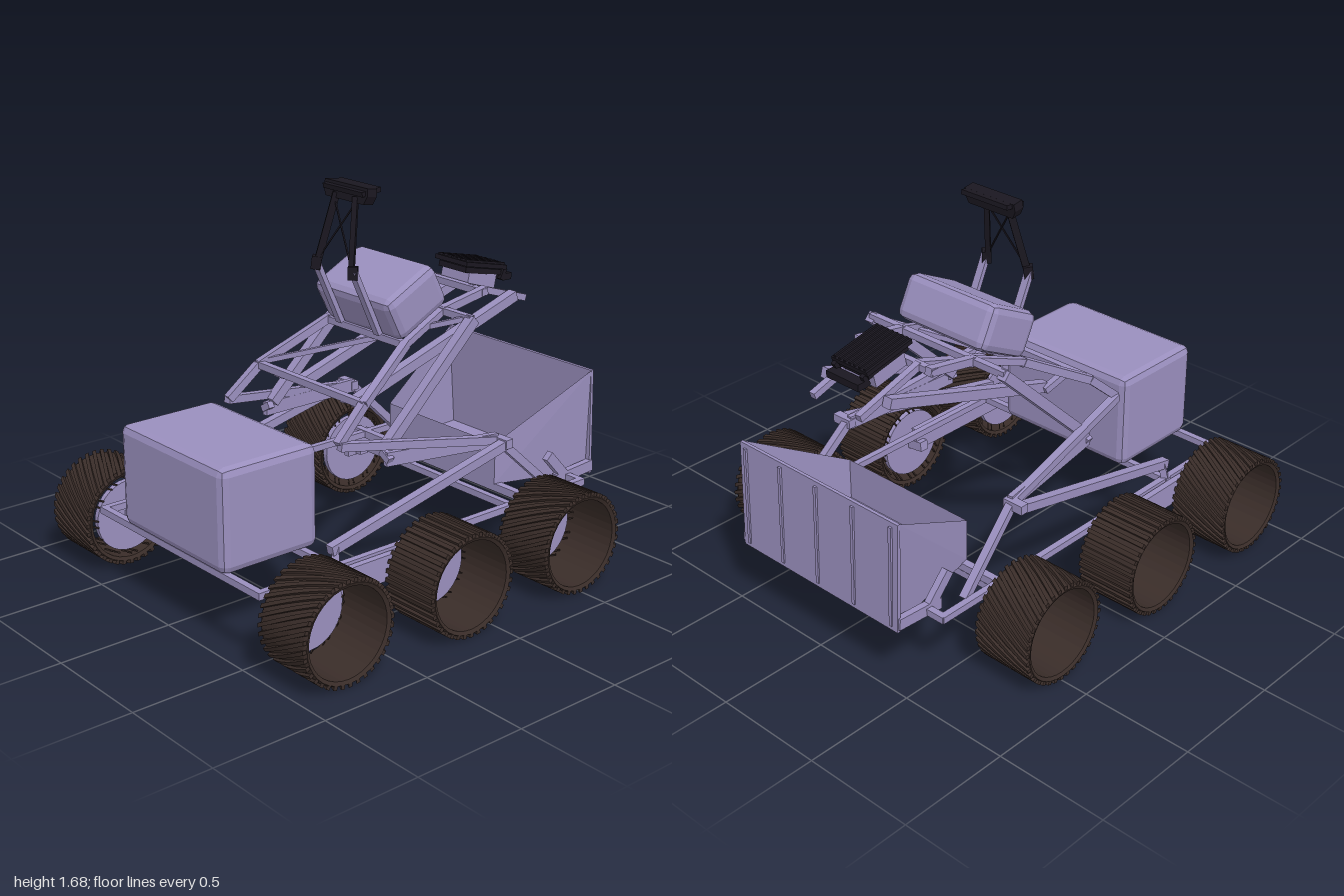
import * as THREE from 'three';
import { mergeGeometries } from 'three/addons/utils/BufferGeometryUtils.js';
import { RoundedBoxGeometry } from 'three/addons/geometries/RoundedBoxGeometry.js';

const mat = (color) => new THREE.MeshStandardMaterial({ color, flatShading: true });
const body = mat(0x9a8fbe), dark = mat(0x1a1720), rubber = mat(0x3a2d29);
const panelMat = mat(0x9a8fbe);
panelMat.side = rubber.side = THREE.DoubleSide;

function add(parent, name, geo, material, pos = [0, 0, 0], rx = 0) {
  const m = new THREE.Mesh(geo, material);
  m.name = name;
  m.position.set(...pos);
  m.rotation.x = rx;
  parent.add(m);
  return m;
}

// straight bar between two points
function beam(parent, name, a, b, w = 0.035, h = w, material = body) {
  const p = new THREE.Vector3(...a), q = new THREE.Vector3(...b);
  const m = add(parent, name, new THREE.BoxGeometry(w, h, p.distanceTo(q)), material);
  m.position.copy(p).add(q).multiplyScalar(0.5);
  m.lookAt(q);
}

// the same bar on both sides
function pair(parent, name, a, b, w, h, material) {
  for (const s of [1, -1]) beam(parent, name, [a[0] * s, a[1], a[2]], [b[0] * s, b[1], b[2]], w, h, material);
}

// flat four-cornered panel
function panel(parent, name, ...corners) {
  const g = new THREE.BufferGeometry();
  g.setAttribute('position', new THREE.Float32BufferAttribute(corners.flat(), 3));
  g.setIndex([0, 1, 2, 0, 2, 3]);
  g.computeVertexNormals();
  add(parent, name, g, panelMat);
}

// ring of tread lugs, twisted around the axle
function treadGeometry(twist) {
  const lugs = [], count = 36;
  for (let i = 0; i < count; i++) {
    const g = new THREE.BoxGeometry(0.27, 0.022, 0.018, 8, 1, 1);
    g.translate(0, 0.212, 0);
    const p = g.attributes.position;
    for (let j = 0; j < p.count; j++) {
      const a = twist * p.getX(j) + (i / count) * Math.PI * 2;
      const y = p.getY(j), z = p.getZ(j);
      p.setXYZ(j, p.getX(j), y * Math.cos(a) - z * Math.sin(a), y * Math.sin(a) + z * Math.cos(a));
    }
    lugs.push(g);
  }
  return mergeGeometries(lugs);
}

function wheel(side, z, twist) {
  const w = new THREE.Group();
  w.name = 'wheel';
  w.position.set(side * 0.735, 0.225, z);
  const profile = [[0.19, -0.13], [0.205, -0.138], [0.212, -0.125], [0.212, 0.125], [0.205, 0.138], [0.19, 0.13], [0.19, -0.13]];
  const tyre = new THREE.LatheGeometry(profile.map(([r, y]) => new THREE.Vector2(r, y)), 36);
  add(w, 'tyre', tyre.rotateZ(Math.PI / 2), rubber);
  add(w, 'tread', treadGeometry(-side * twist), rubber);
  const disc = new THREE.CylinderGeometry(0.16, 0.16, 0.025, 32).rotateZ(Math.PI / 2);
  add(w, 'hubDisc', disc, body, [-side * 0.11, 0, 0]);
  // thin crossed spokes joining the disc to the tyre
  for (let i = 0; i < 12; i++) {
    for (const lean of [-0.15, 0.15]) {
      const a = (i / 12) * Math.PI * 2, b = a + lean, x = -side * 0.11;
      beam(w, 'spoke', [x, 0.155 * Math.cos(a), 0.155 * Math.sin(a)], [x, 0.195 * Math.cos(b), 0.195 * Math.sin(b)], 0.006, 0.006, rubber);
    }
  }
  return w;
}

function chassis() {
  const g = new THREE.Group();
  g.name = 'chassis';
  pair(g, 'sideRail', [0.54, 0.315, 0.955], [0.54, 0.315, -0.84], 0.03);
  beam(g, 'frontCrossbar', [-0.55, 0.315, 0.94], [0.55, 0.315, 0.94], 0.03);
  beam(g, 'bodyCrossbar', [-0.56, 0.315, 0.57], [0.56, 0.315, 0.57], 0.03);
  beam(g, 'rearCrossbar', [-0.6, 0.315, -0.51], [0.6, 0.315, -0.51], 0.035);
  beam(g, 'axleBar', [-0.55, 0.26, -0.49], [0.55, 0.26, -0.49], 0.03);
  pair(g, 'rockerPlate', [0.575, 0.265, 0.12], [0.575, 0.265, 0.79], 0.03, 0.11);
  pair(g, 'rearHubPlate', [0.575, 0.265, -0.56], [0.575, 0.265, -0.42], 0.03, 0.11);
  for (const z of [0.775, 0.14, -0.49]) pair(g, 'axle', [0.53, 0.24, z], [0.64, 0.225, z], 0.045);
  add(g, 'frontBox', new RoundedBoxGeometry(0.705, 0.44, 0.47, 1, 0.035), body, [0, 0.545, 0.735]);
  return g;
}

function hopper() {
  const g = new THREE.Group();
  g.name = 'hopper';
  for (const s of [1, -1]) {
    panel(g, 'hopperSide', [s * 0.345, 0.33, -0.49], [s * 0.345, 0.52, -0.49], [s * 0.455, 0.78, -0.97], [s * 0.43, 0.3, -0.98]);
    // pivot bracket and stub
    beam(g, 'bracket', [s * 0.45, 0.44, -0.71], [s * 0.45, 0.32, -0.82], 0.03, 0.045);
    beam(g, 'bracketFoot', [s * 0.45, 0.315, -0.76], [s * 0.45, 0.33, -0.99], 0.03, 0.05);
    beam(g, 'bracketStub', [s * 0.44, 0.315, -0.83], [s * 0.55, 0.315, -0.83], 0.03);
  }
  panel(g, 'hopperFloor', [-0.345, 0.33, -0.49], [0.345, 0.33, -0.49], [0.43, 0.3, -0.98], [-0.43, 0.3, -0.98]);
  panel(g, 'hopperFront', [-0.345, 0.33, -0.49], [0.345, 0.33, -0.49], [0.345, 0.52, -0.49], [-0.345, 0.52, -0.49]);
  add(g, 'tailPlate', new THREE.BoxGeometry(0.91, 0.49, 0.015), body, [0, 0.535, -0.98], 0.03);
  for (let i = -2; i <= 2; i++) beam(g, 'tailRib', [i * 0.21, 0.31, -0.993], [i * 0.21, 0.76, -0.983], 0.015, 0.015);
  return g;
}

function linkage() {
  const g = new THREE.Group();
  g.name = 'linkage';
  pair(g, 'lowerArm', [0.525, 0.39, 0.585], [0.525, 0.605, -0.38], 0.04);
  pair(g, 'lowerArmFoot', [0.525, 0.4, 0.56], [0.54, 0.32, 0.57], 0.03);
  pair(g, 'middleArm', [0.375, 0.735, 0.41], [0.48, 0.605, -0.38], 0.035);
  pair(g, 'rearStrut', [0.48, 0.605, -0.37], [0.51, 0.315, -0.68], 0.035);
  pair(g, 'armPivot', [0.45, 0.605, -0.37], [0.55, 0.605, -0.37], 0.04);
  pair(g, 'gussetArm', [0.4, 0.635, 0.19], [0.47, 0.605, -0.37], 0.025, 0.06);
  pair(g, 'gussetLink', [0.37, 0.66, 0.18], [0.42, 0.63, 0.18], 0.03);
  pair(g, 'crossArm', [0.375, 0.67, 0.17], [0.375, 1.125, -0.31], 0.045);
  // upper frame
  pair(g, 'frameFoot', [0.365, 0.74, 0.41], [0.345, 0.87, 0.26], 0.035);
  pair(g, 'frameSide', [0.345, 0.87, 0.26], [0.25, 1.04, -0.05], 0.035);
  pair(g, 'frameTop', [0.25, 1.04, -0.05], [0.2, 1.13, -0.31], 0.03);
  beam(g, 'frameLowerBar', [-0.355, 0.87, 0.26], [0.355, 0.87, 0.26], 0.03);
  beam(g, 'frameUpperBar', [-0.26, 1.035, -0.05], [0.26, 1.035, -0.05], 0.03);
  beam(g, 'frameRearBar', [-0.38, 1.125, -0.3], [0.38, 1.125, -0.3], 0.03);
  beam(g, 'diagonalBrace', [-0.34, 0.88, 0.24], [0.34, 1.12, -0.29], 0.022);
  // upper arm and tail frame
  pair(g, 'upperArm', [0.175, 0.81, 0.17], [0.175, 1.105, -0.75], 0.045);
  pair(g, 'upperArmLink', [0.22, 0.86, 0.26], [0.2, 0.81, 0.14], 0.03);
  pair(g, 'tailArm', [0.2, 1.125, -0.3], [0.2, 1.17, -0.55], 0.035);
  beam(g, 'tailCrossbar', [-0.22, 1.165, -0.53], [0.22, 1.165, -0.53], 0.03);
  pair(g, 'tailBar', [0.13, 1.17, -0.53], [0.13, 1.065, -0.86], 0.03);
  return g;
}

function mast() {
  const g = new THREE.Group();
  g.name = 'mast';
  pair(g, 'mastBase', [0.122, 1.06, -0.01], [0.122, 1.35, 0.125], 0.035, 0.022);
  pair(g, 'mastFoot', [0.12, 1.315, 0.125], [0.115, 1.37, 0.12], 0.04, 0.04, dark);
  pair(g, 'mastRod', [0.11, 1.34, 0.125], [0.06, 1.64, 0.06], 0.022, 0.03, dark);
  pair(g, 'mastWire', [0.1, 1.37, 0.12], [-0.07, 1.62, 0.065], 0.006, 0.006, dark);
  // camera head, wider at the top
  const shape = new THREE.Shape([[-0.12, 0], [0.12, 0], [0.138, 0.035], [0.135, 0.068], [-0.135, 0.068], [-0.138, 0.035]]
    .map(([x, y]) => new THREE.Vector2(x, y)));
  const head = new THREE.ExtrudeGeometry(shape, { depth: 0.05, bevelEnabled: false });
  add(g, 'cameraHead', head, dark, [0, 1.61, 0.02], -0.15);
  add(g, 'cameraHood', new THREE.BoxGeometry(0.25, 0.02, 0.1), dark, [0, 1.665, 0.03], 0.1);
  return g;
}

function instrument() {
  const g = new THREE.Group();
  g.name = 'rearInstrument';
  g.position.set(0, 1.205, -0.65);
  g.rotation.x = -0.22;
  add(g, 'mountPlate', new THREE.BoxGeometry(0.17, 0.06, 0.17), body, [0, -0.035, 0.0]);
  add(g, 'lowerCase', new THREE.BoxGeometry(0.17, 0.025, 0.22), dark, [0, 0.005, 0]);
  add(g, 'upperCase', new THREE.BoxGeometry(0.2, 0.02, 0.25), dark, [0, 0.032, 0]);
  for (let i = -3; i <= 3; i++) add(g, 'coolingRib', new THREE.BoxGeometry(0.01, 0.012, 0.24), dark, [i * 0.028, 0.045, 0]);
  add(g, 'tailGrip', new THREE.BoxGeometry(0.18, 0.03, 0.05), dark, [0, -0.01, -0.15], 0.2);
  pair(g, 'gripArm', [0.08, 0.01, -0.1], [0.08, -0.01, -0.15], 0.02, 0.02, dark);
  return g;
}

export function createModel() {
  const model = new THREE.Group();
  model.name = 'sixWheeledRover';
  for (const side of [1, -1]) {
    for (const [z, twist] of [[0.775, 2.4], [0.14, 0], [-0.49, 2.4]]) model.add(wheel(side, z, twist));
  }
  model.add(chassis(), hopper(), linkage(), mast(), instrument());
  add(model, 'upperBox', new RoundedBoxGeometry(0.49, 0.2, 0.295, 1, 0.035), body, [0, 1.195, -0.125], 0.47);
  return model;
}
